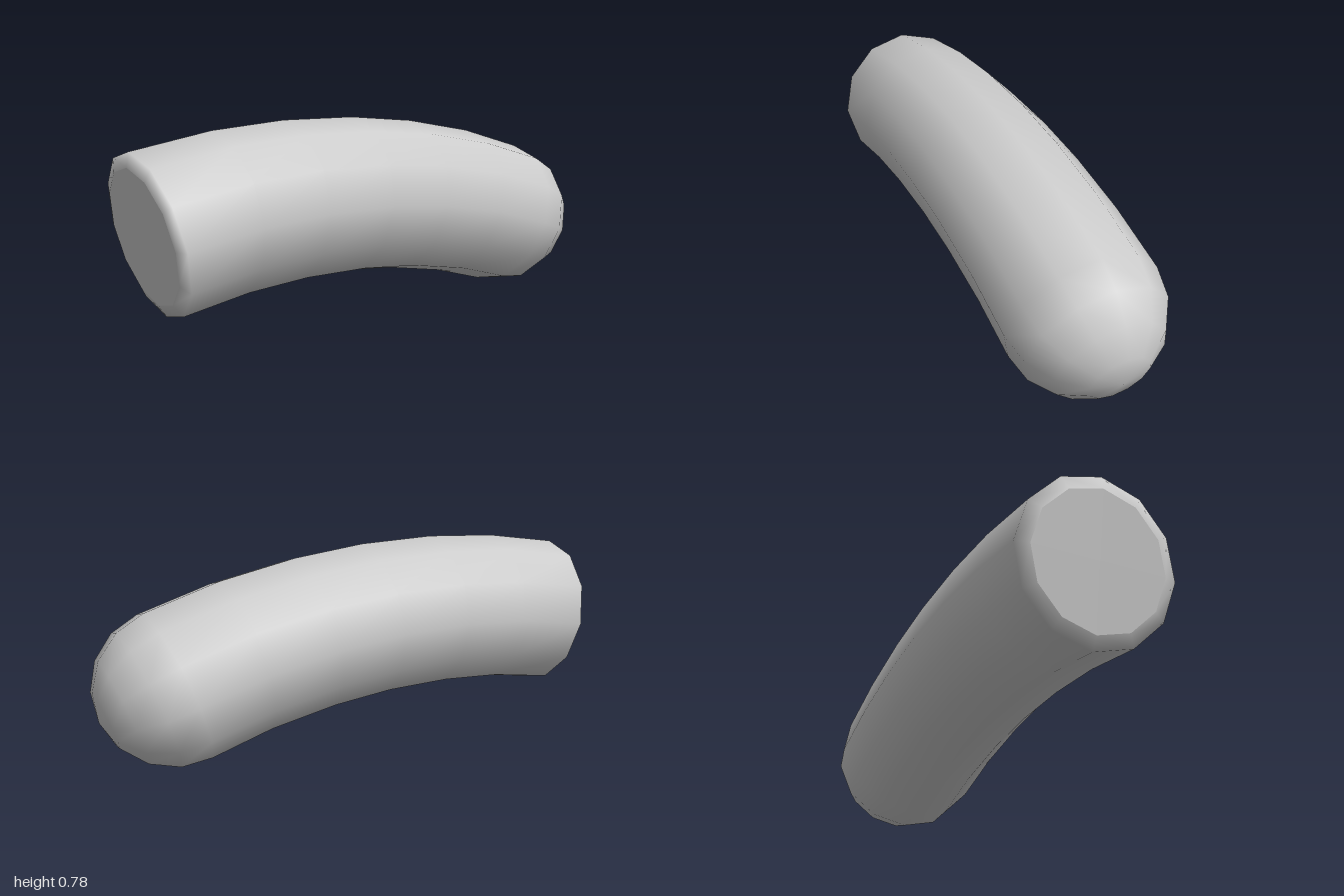
import * as THREE from 'three';

const SIDES = 12, RADIUS = 0.3;

// Centre line of the bent tube: x, y, heading in degrees
const PATH = [
  [-0.935, 0.42, 10.6], [-0.655, 0.463, 5], [-0.39, 0.478, 0], [-0.11, 0.47, -5],
  [0.15, 0.44, -9.7], [0.43, 0.383, -14], [0.69, 0.302, -19.7],
];

// Along, up and centre vectors of one station
function frame([x, y, deg]) {
  const a = THREE.MathUtils.degToRad(deg);
  return {
    centre: new THREE.Vector3(x, y, 0),
    along: new THREE.Vector3(Math.cos(a), Math.sin(a), 0),
    up: new THREE.Vector3(-Math.sin(a), Math.cos(a), 0),
  };
}

export function createModel() {
  const group = new THREE.Group();
  group.name = 'bentRod';
  const material = new THREE.MeshStandardMaterial({ color: 0xcccccc });
  const first = frame(PATH[0]), last = frame(PATH[PATH.length - 1]);

  // Rings: bevelled rim, bent tube, then the rounded end
  const rings = [{ f: first, shift: -0.018, r: 0.25 }];
  for (const p of PATH) rings.push({ f: frame(p), shift: 0, r: RADIUS });
  for (let i = 1; i < 4; i++) {
    const a = i * Math.PI / 8;
    rings.push({ f: last, shift: RADIUS * Math.sin(a), r: RADIUS * Math.cos(a) });
  }

  const positions = [], index = [];
  for (const { f, shift, r } of rings) {
    for (let j = 0; j < SIDES; j++) {
      const t = j / SIDES * Math.PI * 2;
      const p = f.centre.clone().addScaledVector(f.along, shift).addScaledVector(f.up, r * Math.cos(t));
      positions.push(p.x, p.y, r * Math.sin(t));
    }
  }
  const tip = last.centre.clone().addScaledVector(last.along, RADIUS);
  positions.push(tip.x, tip.y, 0);
  const pole = rings.length * SIDES;

  for (let i = 0; i < rings.length; i++) {
    for (let j = 0; j < SIDES; j++) {
      const a = i * SIDES + j, b = i * SIDES + (j + 1) % SIDES;
      if (i === rings.length - 1) index.push(a, b, pole);
      else index.push(a, b, a + SIDES, b, b + SIDES, a + SIDES);
    }
  }
  const geometry = new THREE.BufferGeometry();
  geometry.setAttribute('position', new THREE.Float32BufferAttribute(positions, 3));
  geometry.setIndex(index);
  geometry.computeVertexNormals();
  const tube = new THREE.Mesh(geometry, material);
  tube.name = 'roundedTube';
  group.add(tube);

  // Flat disc closing the cut end
  const disc = new THREE.CircleGeometry(0.25, SIDES);
  const basis = new THREE.Matrix4().makeBasis(first.up, new THREE.Vector3(0, 0, -1), first.along.clone().negate());
  basis.setPosition(first.centre.clone().addScaledVector(first.along, -0.018));
  disc.applyMatrix4(basis);
  const cap = new THREE.Mesh(disc, material);
  cap.name = 'flatEnd';
  group.add(cap);

  return group;
}
